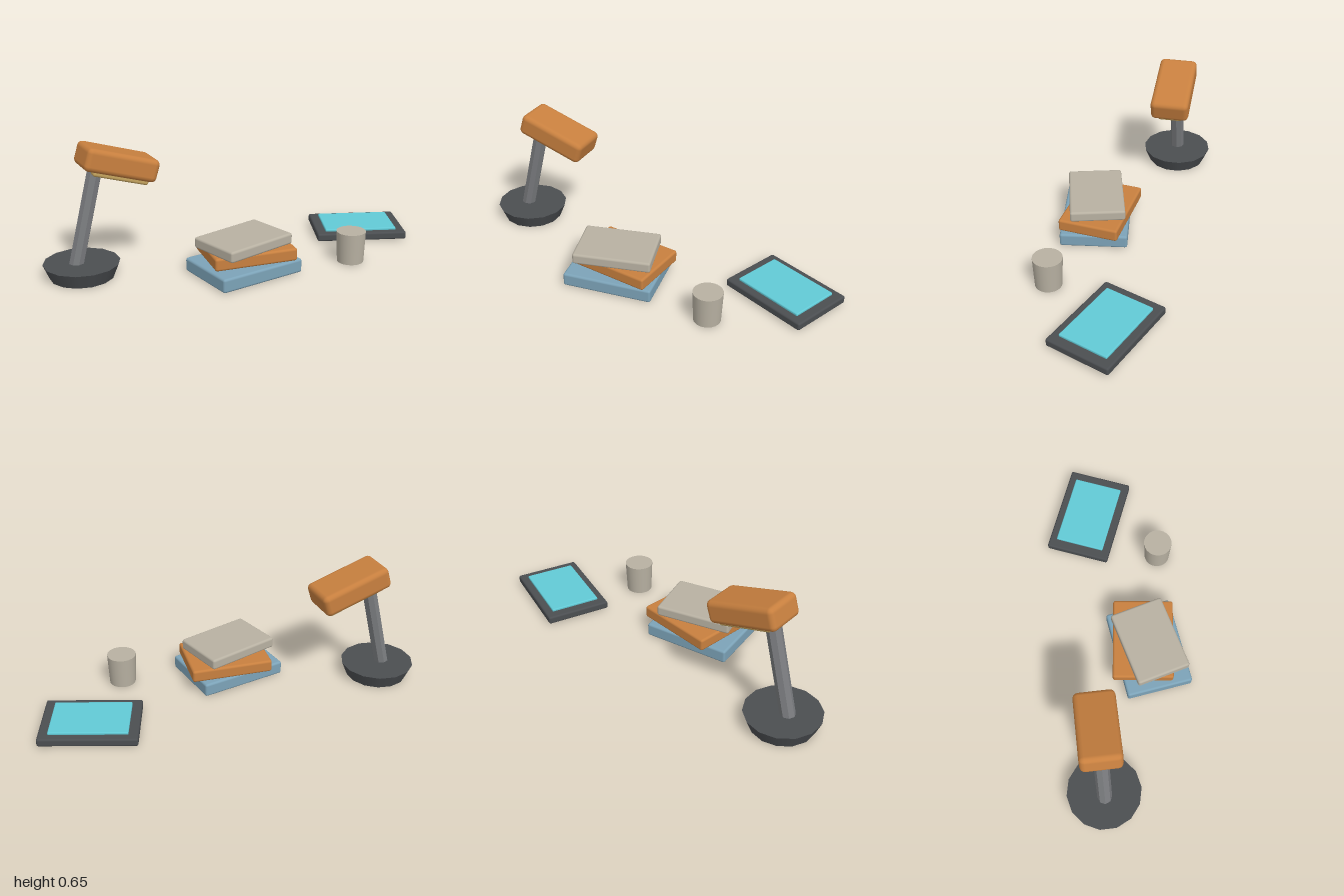
import * as THREE from 'three';
import { RoundedBoxGeometry } from 'three/addons/geometries/RoundedBoxGeometry.js';
import { toCreasedNormals } from 'three/addons/utils/BufferGeometryUtils.js';

const makeMaterial = (name, color) => {
  const material = new THREE.MeshStandardMaterial({ color });
  material.name = name;
  return material;
};

export function createModel() {
  const charcoal = makeMaterial('charcoal', 0x4b4e51);
  const steel = makeMaterial('steel grey', 0x7b7d80);
  const orange = makeMaterial('burnt orange', 0xc8803f);
  const gold = makeMaterial('lamp gold', 0xc6a55f);
  const blue = makeMaterial('dusty blue', 0x7ca3b8);
  const stone = makeMaterial('stone', 0xb8b1a2);
  const cyan = makeMaterial('screen cyan', 0x62cad6);

  const model = new THREE.Group();
  model.name = 'deskSet';

  const group = (name, x, y, z) => {
    const g = new THREE.Group();
    g.name = name;
    g.position.set(x, y, z);
    model.add(g);
    return g;
  };
  const add = (parent, name, geometry, material, x, y, z) => {
    const mesh = new THREE.Mesh(geometry, material);
    mesh.name = name;
    mesh.position.set(x, y, z);
    parent.add(mesh);
    return mesh;
  };
  const rounded = (w, h, d, r) => new RoundedBoxGeometry(w, h, d, 2, r);

  // Desk lamp: flared base, leaning arm, tilted head with a light panel
  const lamp = group('lamp', -0.82, 0, -0.165);
  add(lamp, 'lampBase', new THREE.CylinderGeometry(0.187, 0.157, 0.072, 14), charcoal, 0, 0.036, 0);

  const foot = new THREE.Vector2(-0.032, 0.04);
  const tip = new THREE.Vector2(0.095, 0.545);
  const armGeometry = toCreasedNormals(
    new THREE.CylinderGeometry(0.037, 0.037, foot.distanceTo(tip), 8), 0.5);
  const arm = add(lamp, 'lampArm', armGeometry, steel,
    (foot.x + tip.x) / 2, (foot.y + tip.y) / 2, 0);
  arm.rotation.z = -Math.atan2(tip.x - foot.x, tip.y - foot.y);

  const tilt = -0.3;
  add(lamp, 'lampHead', rounded(0.369, 0.114, 0.2, 0.026), orange, 0.203, 0.551, 0).rotation.z = tilt;
  add(lamp, 'lightPanel', rounded(0.285, 0.037, 0.127, 0.012), gold, 0.203, 0.487, 0).rotation.z = tilt;

  // Stack of three books, each turned a little
  const books = group('bookStack', 0, 0, 0);
  [
    ['bottomBook', 0.46, 0.07, 0.345, blue, -0.098, 0.037, 0.15, 0.14],
    ['middleBook', 0.42, 0.064, 0.313, orange, -0.07, 0.105, 0.122, -0.12],
    ['topBook', 0.394, 0.056, 0.28, stone, -0.099, 0.166, 0.152, 0.26],
  ].forEach(([name, w, h, d, material, x, y, z, turn]) => {
    add(books, name, rounded(w, h, d, 0.012), material, x, y, z).rotation.y = turn;
  });

  // Cup
  add(model, 'cup', new THREE.CylinderGeometry(0.074, 0.067, 0.16, 24), stone, 0.449, 0.08, 0.266);

  // Tablet lying flat with a raised screen
  const tablet = group('tablet', 0.713, 0, -0.08);
  tablet.rotation.y = -0.385;
  add(tablet, 'tabletBody', rounded(0.478, 0.041, 0.338, 0.01), charcoal, 0, 0.0275, 0);
  add(tablet, 'tabletScreen', rounded(0.382, 0.016, 0.26, 0.006), cyan, 0, 0.052, 0);

  return model;
}
